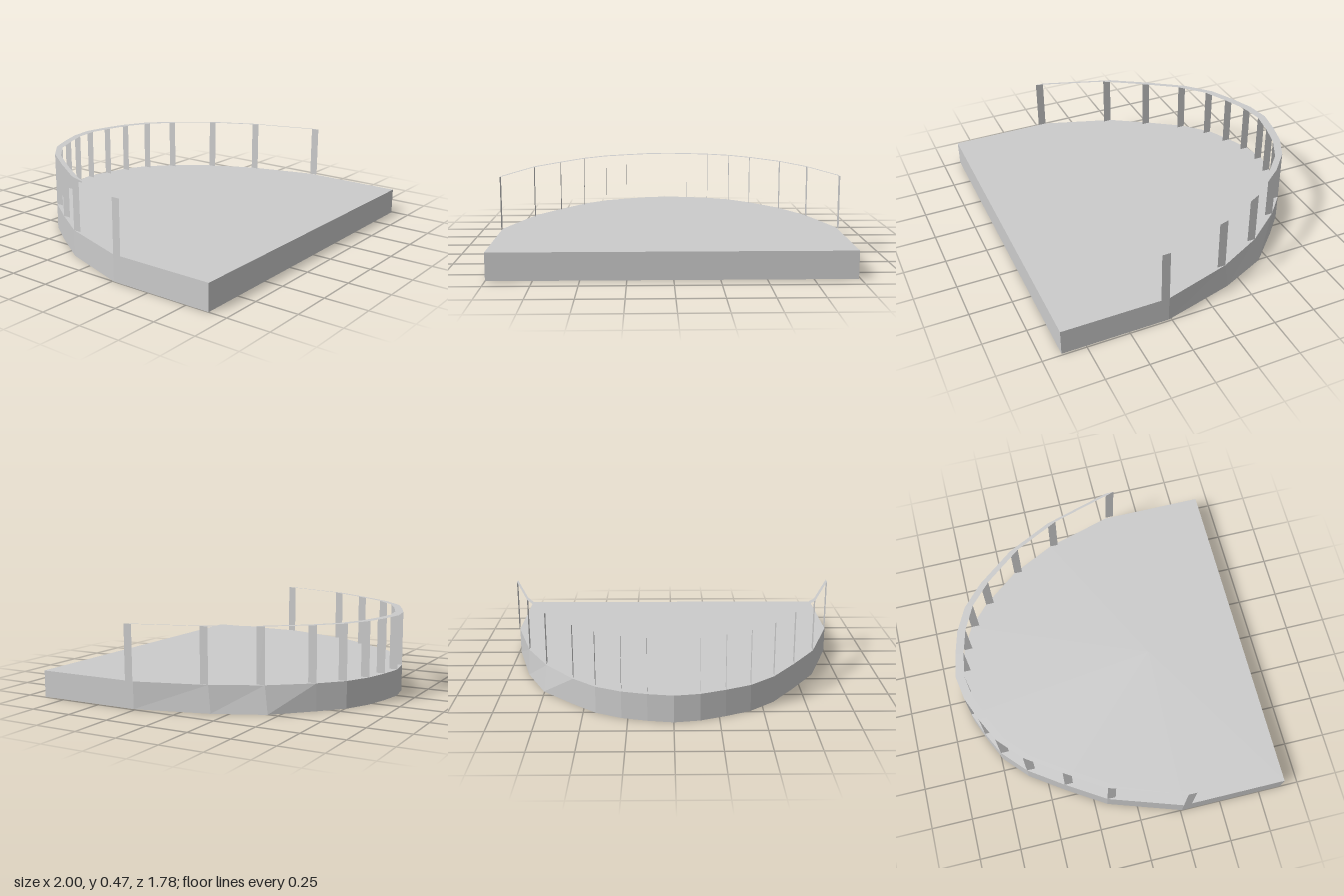
import * as THREE from 'three';

const DECK_Y = 0.155, RAIL_Y = 0.472, DEPTH = 0.05;

// Curved edge of the deck, [x, z] from one side around the back to the other
const EDGE = [
  [-1, 0.26], [-0.855, -0.175], [-0.71, -0.405], [-0.57, -0.608], [-0.427, -0.74],
  [-0.285, -0.81], [-0.143, -0.868], [0, -0.892], [0.143, -0.868], [0.285, -0.83],
  [0.43, -0.757], [0.562, -0.636], [0.737, -0.413], [0.873, -0.142], [0.995, 0.265],
];
// Outward flare of the foot of the wall, by edge index
const FLARE = { 12: [0.018, -0.027], 13: [0.007, -0.018] };

function fromTriangles(triangles) {
  const geometry = new THREE.BufferGeometry();
  geometry.setAttribute('position', new THREE.Float32BufferAttribute(triangles.flat(2), 3));
  geometry.computeVertexNormals();
  return geometry;
}

const quad = (a, b, c, d) => [[a, b, c], [a, c, d]];

// Solid between the upper and lower outlines
function deckGeometry() {
  const front = [[0.99, 0.89], [-1, 0.89]];
  const top = [...EDGE, ...front].map(([x, z]) => [Math.min(x, 0.99), DECK_Y, z]);
  const bottom = top.map(([x, , z], i) => {
    const [dx, dz] = FLARE[i] ?? [0, 0];
    return [x + dx, 0, z + dz];
  });
  const topMid = [0, DECK_Y, 0.3], bottomMid = [0, 0, 0.3];
  const triangles = [];
  top.forEach((p, i) => {
    const j = (i + 1) % top.length;
    triangles.push([topMid, top[j], p], [bottomMid, bottom[i], bottom[j]]);
    triangles.push(...quad(p, top[j], bottom[j], bottom[i]));
  });
  return fromTriangles(triangles);
}

// Flat strip running over the tops of the posts
function railGeometry() {
  const triangles = [];
  for (let i = 0; i < EDGE.length - 1; i++) {
    const [x0, z0] = EDGE[i], [x1, z1] = EDGE[i + 1];
    triangles.push(...quad(
      [x0, RAIL_Y, z0], [x0, RAIL_Y, z0 + DEPTH],
      [x1, RAIL_Y, z1 + DEPTH], [x1, RAIL_Y, z1]));
  }
  return fromTriangles(triangles);
}

export function createModel() {
  const model = new THREE.Group();
  model.name = 'balconyPlatform';
  const solid = new THREE.MeshStandardMaterial({ color: 0xcccccc, flatShading: true });
  const thin = new THREE.MeshStandardMaterial({
    color: 0xcccccc, flatShading: true, side: THREE.DoubleSide,
  });

  const deck = new THREE.Mesh(deckGeometry(), solid);
  deck.name = 'deck';
  const rail = new THREE.Mesh(railGeometry(), thin);
  rail.name = 'handrail';

  // Paper-thin posts, all lying in planes that face sideways
  const posts = new THREE.Group();
  posts.name = 'railingPosts';
  const height = RAIL_Y - DECK_Y;
  const postGeometry = new THREE.PlaneGeometry(DEPTH, height).rotateY(Math.PI / 2);
  EDGE.forEach(([x, z], i) => {
    const post = new THREE.Mesh(postGeometry, thin);
    post.name = `post${i + 1}`;
    post.position.set(x, DECK_Y + height / 2, z + DEPTH / 2);
    posts.add(post);
  });

  model.add(deck, rail, posts);
  return model;
}
